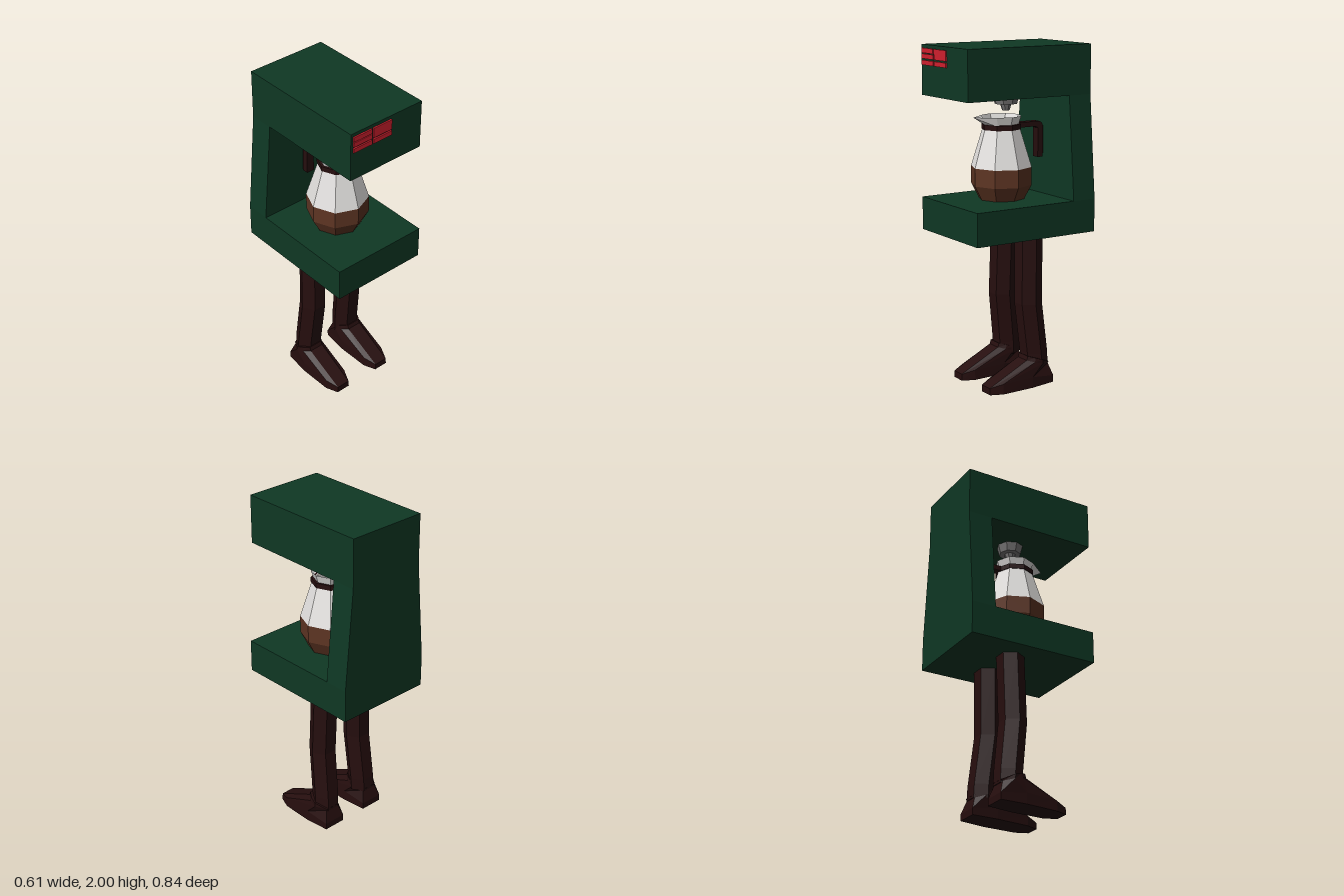
import * as THREE from 'three';

const paint = (name, color, side = THREE.FrontSide) => {
  const m = new THREE.MeshStandardMaterial({ color, side });
  m.name = name;
  return m;
};

export function createModel() {
  const green = paint('darkGreen', 0x0f3824);
  const red = paint('red', 0xd0202e);
  const grey = paint('grey', 0x7c7a7a);
  const glass = paint('glassWhite', 0xe2e0de, THREE.DoubleSide);
  const coffeeBrown = paint('coffeeBrown', 0x5e3523);
  const darkBrown = paint('darkBrown', 0x260e0e);
  const root = new THREE.Group();
  root.name = 'walkingCoffeeMaker';

  // Adds a faceted mesh
  const add = (name, geometry, material, parent = root) => {
    const g = geometry.index ? geometry.toNonIndexed() : geometry;
    g.computeVertexNormals();
    const mesh = new THREE.Mesh(g, material);
    mesh.name = name;
    parent.add(mesh);
    return mesh;
  };

  // Box given by its limits
  const box = (x0, x1, y0, y1, z0, z1) =>
    new THREE.BoxGeometry(x1 - x0, y1 - y0, z1 - z0)
      .translate((x0 + x1) / 2, (y0 + y1) / 2, (z0 + z1) / 2);

  // Eight-sided turned form from [radius, height] pairs, bottom to top
  const turned = (points) =>
    new THREE.LatheGeometry(points.map(([r, y]) => new THREE.Vector2(r, y)), 8);

  // Closed skin over rings, bottom to top, each counterclockwise from above
  const loft = (rings) => {
    const n = rings[0].length;
    const pos = [];
    const tri = (...pts) => pts.forEach((p) => pos.push(...p));
    for (let i = 0; i < rings.length - 1; i++) {
      for (let j = 0; j < n; j++) {
        const k = (j + 1) % n;
        tri(rings[i][j], rings[i][k], rings[i + 1][k]);
        tri(rings[i][j], rings[i + 1][k], rings[i + 1][j]);
      }
    }
    const top = rings[rings.length - 1];
    const bottom = rings[0];
    for (let j = 1; j < n - 1; j++) {
      tri(top[0], top[j], top[j + 1]);
      tri(bottom[0], bottom[j + 1], bottom[j]);
    }
    const g = new THREE.BufferGeometry();
    g.setAttribute('position', new THREE.Float32BufferAttribute(pos, 3));
    return g;
  };

  // Housing: wide base, tapering back column, overhanging head
  add('base', box(-0.303, 0.303, 0.91, 1.105, -0.42, 0.386), green);
  add('head', box(-0.25, 0.25, 1.71, 2, -0.42, 0.41), green);
  const column = box(-0.303, 0.303, 1.105, 1.71, -0.42, -0.27);
  const cp = column.attributes.position;
  for (let i = 0; i < cp.count; i++) {
    if (cp.getY(i) > 1.4) cp.setX(i, Math.sign(cp.getX(i)) * 0.25);
  }
  add('backColumn', column, green);

  // Display bars on the head
  const bars = [
    [-0.235, -0.108, 1.952, 1.98], [-0.235, -0.108, 1.92, 1.947], [-0.235, -0.108, 1.884, 1.911],
    [-0.097, 0.03, 1.92, 1.98], [-0.097, 0.03, 1.884, 1.911],
  ];
  bars.forEach(([x0, x1, y0, y1], i) =>
    add(`displayBar${i + 1}`, box(x0, x1, y0, y1, 0.41, 0.419), red));

  // Drip nozzle
  add('nozzle', turned([[0, 1.62], [0.022, 1.62], [0.034, 1.658], [0.066, 1.658], [0.08, 1.71]]), grey);

  // Coffee pot
  const pot = new THREE.Group();
  pot.name = 'coffeePot';
  pot.position.set(-0.008, 0, 0.026);
  root.add(pot);
  add('coffee', turned([[0, 1.106], [0.135, 1.106], [0.18, 1.19], [0.18, 1.295], [0, 1.295]]), coffeeBrown, pot);
  add('potGlass', turned([[0.18, 1.295], [0.11, 1.52]]), glass, pot);
  add('neckBand', turned([[0.1, 1.513], [0.117, 1.513], [0.117, 1.543], [0.1, 1.543]]), darkBrown, pot);

  // Flared rim with its front corner drawn out into a spout
  const rim = turned([[0.1, 1.535], [0.118, 1.59]]);
  const rp = rim.attributes.position;
  for (let i = 0; i < rp.count; i++) {
    if (rp.getY(i) > 1.58 && rp.getZ(i) > 0.11) rp.setZ(i, 0.19);
  }
  add('rimAndSpout', rim, glass, pot);

  // Handle: an angled bar, drawn from the side
  const bar = new THREE.Shape();
  bar.moveTo(0.1, 1.513);
  [[0.228, 1.513], [0.24, 1.503], [0.24, 1.33], [0.276, 1.33], [0.276, 1.515], [0.266, 1.536], [0.25, 1.543], [0.1, 1.543]]
    .forEach(([u, v]) => bar.lineTo(u, v));
  const handle = new THREE.ExtrudeGeometry(bar, { depth: 0.05, bevelEnabled: false });
  handle.translate(0, 0, -0.025).rotateY(Math.PI / 2);
  add('handle', handle, darkBrown, pot);

  // Legs and shoes
  const hexRing = (cx, y, cz, r = 0.081) => Array.from({ length: 6 }, (_, j) => {
    const a = (j * Math.PI) / 3;
    return [cx + r * Math.cos(a), y, cz - r * Math.sin(a)];
  });
  // Half outlines from toe to heel as [x, y, z]
  const sole = [[0.045, 0, 0.245], [0.075, 0, 0.17], [0.083, 0.005, -0.03], [0.07, 0.01, -0.185]];
  const welt = [[0.042, 0.04, 0.245], [0.072, 0.06, 0.17], [0.083, 0.07, -0.03], [0.07, 0.05, -0.185]];
  const ankle = [[0.045, 0.165, -0.01], [0.075, 0.155, -0.05], [0.083, 0.14, -0.1], [0.046, 0.125, -0.16]];
  const cuffTop = [[0.046, 0.19, -0.018], [0.072, 0.18, -0.055], [0.084, 0.165, -0.1], [0.046, 0.135, -0.167]];
  const outline = (half, cx) => [
    ...half.slice().reverse().map(([x, y, z]) => [cx + x, y, z]),
    ...half.map(([x, y, z]) => [cx - x, y, z]),
  ].reverse();

  for (const [side, s] of [['left', 1], ['right', -1]]) {
    const at = (x) => s * x + 0.007;
    add(`${side}Leg`, loft([
      hexRing(at(0.15), 0.12, -0.097),
      hexRing(at(0.148), 0.2, -0.094),
      hexRing(at(0.139), 0.5, -0.061),
      hexRing(at(0.129), 0.912, -0.07),
    ]), darkBrown);
    add(`${side}Shoe`, loft([sole, welt, ankle, cuffTop].map((h) => outline(h, at(0.155)))), darkBrown);
  }

  return root;
}
